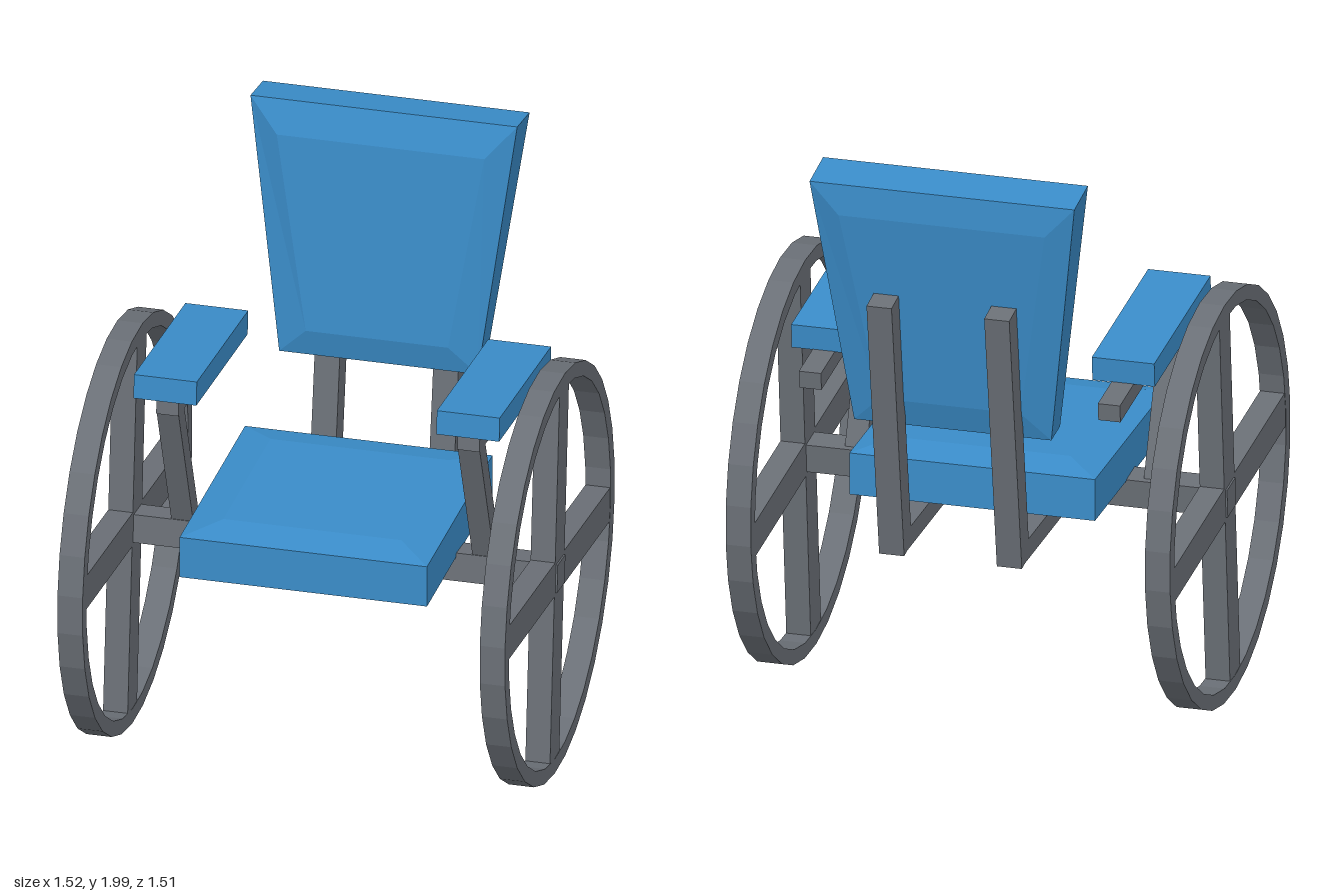
import * as THREE from 'three';

const metal = new THREE.MeshStandardMaterial({ color: 0x6a6f76, flatShading: true });
const fabric = new THREE.MeshStandardMaterial({ color: 0x3a8cc8, flatShading: true });
const TILT = 0.095;            // the frame leans back slightly
const HUB = { y: 0.705, z: 0.0575 };

function add(parent, name, geometry, material, x = 0, y = 0, z = 0) {
  const mesh = new THREE.Mesh(geometry, material);
  mesh.name = name;
  mesh.position.set(x, y, z);
  parent.add(mesh);
  return mesh;
}

// Square bar between two (y, z) points in the plane at x
function bar(parent, name, material, x, [y0, z0], [y1, z1], width, thickness) {
  const length = Math.hypot(y1 - y0, z1 - z0);
  const geometry = new THREE.BoxGeometry(width, length, thickness);
  const mesh = add(parent, name, geometry, material, x, (y0 + y1) / 2, (z0 + z1) / 2);
  mesh.rotation.x = Math.atan2(z1 - z0, y1 - y0);
  return mesh;
}

// Closed solid through four-cornered rings, counter-clockwise seen from the last ring
function loft(rings) {
  const points = [];
  const quad = (a, b, c, d) => points.push(...a, ...b, ...c, ...a, ...c, ...d);
  for (let r = 0; r < rings.length - 1; r++) {
    for (let i = 0; i < 4; i++) {
      const j = (i + 1) % 4;
      quad(rings[r][i], rings[r][j], rings[r + 1][j], rings[r + 1][i]);
    }
  }
  quad(...[...rings[0]].reverse());
  quad(...rings[rings.length - 1]);
  const geometry = new THREE.BufferGeometry();
  geometry.setAttribute('position', new THREE.Float32BufferAttribute(points, 3));
  geometry.computeVertexNormals();
  return geometry;
}

function circlePoints(radius, sides) {
  return Array.from({ length: sides }, (_, i) => {
    const a = (i / sides) * Math.PI * 2;
    return new THREE.Vector2(Math.cos(a) * radius, Math.sin(a) * radius);
  });
}

// Wheel: faceted rim with a cross of two flat spokes
function makeWheel(name, x) {
  const wheel = new THREE.Group();
  wheel.name = name;
  const width = 0.085;
  const shape = new THREE.Shape(circlePoints(0.702, 32));
  shape.holes.push(new THREE.Path(circlePoints(0.65, 32)));
  const rim = new THREE.ExtrudeGeometry(shape, { depth: width, bevelEnabled: false });
  rim.translate(0, 0, -width / 2).rotateY(Math.PI / 2);
  add(wheel, 'rim', rim, metal);
  add(wheel, 'uprightSpoke', new THREE.BoxGeometry(width - 0.002, 1.35, 0.12), metal);
  add(wheel, 'levelSpoke', new THREE.BoxGeometry(width - 0.002, 0.12, 1.35), metal);
  wheel.position.set(x, HUB.y, HUB.z);
  wheel.rotation.x = -TILT;
  return wheel;
}

export function createModel() {
  const chair = new THREE.Group();
  chair.name = 'wheelchair';

  // Axle
  const axle = add(chair, 'axle', new THREE.BoxGeometry(1.52, 0.098, 0.098), metal, 0, HUB.y, HUB.z);
  axle.rotation.x = -TILT;

  // Seat cushion, bevelled above and below
  const seatRing = (y, h) => [[-h, y, h], [h, y, h], [h, y, -h], [-h, y, -h]];
  const seat = loft([
    seatRing(0.72, 0.3), seatRing(0.745, 0.4175), seatRing(0.89, 0.4175), seatRing(0.915, 0.3),
  ]);
  add(chair, 'seatCushion', seat, fabric, 0, 0, HUB.z);

  // Backrest: leaning, wider at the top, bevelled front and back
  const backRing = (wb, yb, zb, wt, yt, zt) => [[-wb, yb, zb], [wb, yb, zb], [wt, yt, zt], [-wt, yt, zt]];
  add(chair, 'backrest', loft([
    backRing(0.24, 1.2, -0.617, 0.35, 1.87, -0.717),
    backRing(0.335, 1.105, -0.585, 0.45, 1.976, -0.711),
    backRing(0.335, 1.115, -0.484, 0.45, 2.0, -0.553),
    backRing(0.24, 1.21, -0.463, 0.35, 1.89, -0.51),
  ]), fabric);

  for (const [side, s] of [['left', 1], ['right', -1]]) {
    chair.add(makeWheel(side + 'Wheel', s * 0.7125));

    // L-shaped frame under the seat and behind the backrest
    bar(chair, side + 'SeatRail', metal, s * 0.2, [0.693, -0.6], [0.693, 0.29], 0.084, 0.07);
    bar(chair, side + 'BackPost', metal, s * 0.2, [0.66, -0.567], [1.586, -0.714], 0.085, 0.09);

    // Armrest: pad, rail and slanting strut down to the axle
    bar(chair, side + 'ArmPad', fabric, s * 0.511, [1.275, -0.35], [1.333, 0.305], 0.212, 0.083);
    bar(chair, side + 'ArmRail', metal, s * 0.508, [1.19, -0.505], [1.265, 0.287], 0.075, 0.06);
    bar(chair, side + 'ArmStrut', metal, s * 0.508, [0.71, 0.045], [1.25, 0.255], 0.074, 0.065);
  }
  return chair;
}
